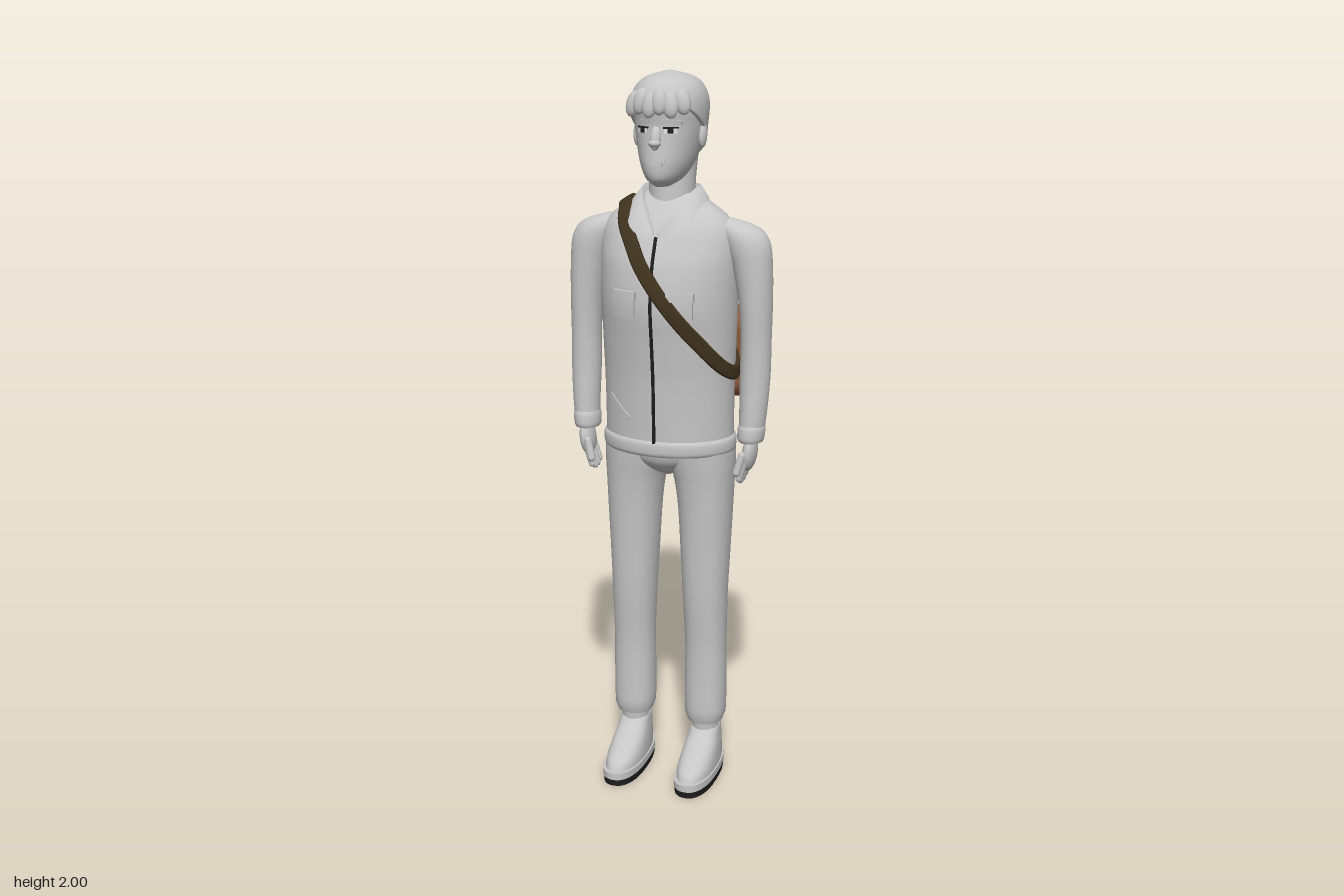
import * as THREE from 'three';
import { RoundedBoxGeometry } from 'three/addons/geometries/RoundedBoxGeometry.js';

const V = (x, y, z) => new THREE.Vector3(x, y, z);
const mat = (name, color) => Object.assign(new THREE.MeshStandardMaterial({ color }), { name });

// Smooth interpolation of rows [y, centreX, centreZ, halfWidth, frontDepth, backDepth]
function profile(rows) {
  const slope = (i, k) => {
    const a = rows[Math.max(i - 1, 0)], b = rows[Math.min(i + 1, rows.length - 1)];
    return (b[k] - a[k]) / (b[0] - a[0]);
  };
  return y => {
    let i = 0;
    while (i < rows.length - 2 && y > rows[i + 1][0]) i++;
    const a = rows[i], b = rows[i + 1], h = b[0] - a[0];
    const t = THREE.MathUtils.clamp((y - a[0]) / h, 0, 1), t2 = t * t, t3 = t2 * t;
    return a.map((_, k) => k === 0 ? y
      : (2 * t3 - 3 * t2 + 1) * a[k] + (t3 - 2 * t2 + t) * h * slope(i, k)
      + (3 * t2 - 2 * t3) * b[k] + (t3 - t2) * h * slope(i + 1, k));
  };
}

// Point on the body at angle a (0 = left, PI/2 = front)
function onSurface(prof, a, y, power = 2, scale = 1) {
  const [, cx, cz, rx, rf, rb] = prof(y), c = Math.cos(a), s = Math.sin(a);
  const e = v => Math.sign(v) * Math.abs(v) ** (2 / power) * scale;
  return V(cx + rx * e(c), y, cz + (s > 0 ? rf : rb) * e(s));
}

// Skin over a list of closed rings, with flat end caps
function skin(rings, caps = true) {
  const n = rings[0].length, m = rings.length, pts = rings.flat(), idx = [];
  for (let i = 0; i < m - 1; i++) for (let j = 0; j < n; j++) {
    const a = i * n + j, b = i * n + (j + 1) % n;
    idx.push(a, a + n, b + n, a, b + n, b);
  }
  if (caps) [0, m - 1].forEach(r => {
    const start = pts.length, mid = V(0, 0, 0);
    rings[r].forEach(p => { mid.addScaledVector(p, 1 / n); pts.push(p); });
    pts.push(mid);
    for (let j = 0; j < n; j++) {
      const p = start + j, q = start + (j + 1) % n;
      idx.push(start + n, r ? q : p, r ? p : q);
    }
  });
  const g = new THREE.BufferGeometry().setFromPoints(pts);
  g.setIndex(idx);
  g.computeVertexNormals();
  return g;
}

function loft(rows, { steps = 28, sides = 36, power = 2 } = {}) {
  const prof = profile(rows), y0 = rows[0][0], y1 = rows[rows.length - 1][0];
  return skin(Array.from({ length: steps + 1 }, (_, i) => Array.from({ length: sides }, (_, j) =>
    onSurface(prof, j / sides * Math.PI * 2, y0 + (y1 - y0) * i / steps, power))));
}

// Lays a thin box on the front of a body
function drape(prof, w, h, d, x, y, turn = 0) {
  const g = new THREE.BoxGeometry(w, h, d, 6, Math.max(2, Math.ceil(h / 0.02)), 1);
  g.rotateZ(turn).translate(x, y, 0);
  const p = g.attributes.position;
  for (let i = 0; i < p.count; i++) {
    const [, , cz, rx, rf] = prof(p.getY(i));
    p.setZ(i, p.getZ(i) + cz + rf * Math.sqrt(Math.max(0, 1 - (p.getX(i) / rx) ** 2)));
  }
  g.computeVertexNormals();
  return g;
}

// Open sheet across several rails
function sheet(rails, n = 24) {
  const pts = rails.flatMap(r => new THREE.CatmullRomCurve3(r).getPoints(n)), idx = [];
  for (let i = 0; i < rails.length - 1; i++) for (let j = 0; j < n; j++) {
    const a = i * (n + 1) + j, b = a + n + 1;
    idx.push(a, b, b + 1, a, b + 1, a + 1);
  }
  const g = new THREE.BufferGeometry().setFromPoints(pts);
  g.setIndex(idx);
  g.computeVertexNormals();
  return g;
}

export function createModel() {
  const model = new THREE.Group();
  const grey = mat('plain grey', 0xc6c6c6), leather = mat('brown leather', 0x8b5a3a);
  const webbing = mat('dark strap', 0x40331f), black = mat('black rubber', 0x1c1c1c);
  const metal = mat('buckle metal', 0xb4b4ae), white = mat('eye white', 0xe6e6e6);
  const greySheet = mat('plain grey cloth', 0xc6c6c6);
  greySheet.side = THREE.DoubleSide;
  const add = (name, geo, m = grey) => {
    const o = new THREE.Mesh(geo, m);
    o.name = name;
    model.add(o);
    return o;
  };
  const ball = (name, x, y, z, rx, ry, rz, m) => {
    const o = add(name, new THREE.SphereGeometry(1, 20, 14), m);
    o.position.set(x, y, z);
    o.scale.set(rx, ry, rz);
    return o;
  };

  // Jacket
  const torsoRows = [[0.99, 0, 0.03, 0.181, 0.131, 0.136], [1.1, 0, 0.03, 0.181, 0.134, 0.132],
    [1.2, 0, 0.03, 0.183, 0.138, 0.13], [1.3, 0, 0.03, 0.186, 0.148, 0.133],
    [1.4, 0, 0.03, 0.188, 0.158, 0.138], [1.5, 0, 0.03, 0.19, 0.144, 0.138],
    [1.56, 0, 0.03, 0.188, 0.12, 0.132], [1.6, 0, 0.03, 0.178, 0.1, 0.12],
    [1.63, 0, 0.03, 0.155, 0.08, 0.105], [1.66, 0, 0.025, 0.11, 0.06, 0.088], [1.685, 0, 0.015, 0.07, 0.045, 0.07]];
  const torso = profile(torsoRows);
  add('jacket', loft(torsoRows, { steps: 60, sides: 56 }));
  add('jacketHem', loft([[0.985, 0, 0.03, 0.182, 0.132, 0.137], [0.992, 0, 0.03, 0.187, 0.137, 0.142],
    [1.022, 0, 0.03, 0.187, 0.137, 0.142], [1.03, 0, 0.03, 0.181, 0.131, 0.135]], { sides: 56, steps: 10 }));
  add('zip', drape(torso, 0.008, 0.56, 0.008, 0, 1.3), black);

  // Head, neck and face
  add('neck', loft([[1.6, 0, 0.01, 0.064, 0.075, 0.06], [1.7, 0, 0.01, 0.062, 0.066, 0.064],
    [1.79, 0, 0, 0.066, 0.07, 0.075]]));
  const headRows = [[1.708, 0, 0.085, 0.02, 0.035, 0.04], [1.725, 0, 0.065, 0.045, 0.078, 0.07],
    [1.76, 0, 0.045, 0.066, 0.105, 0.1], [1.81, 0, 0.03, 0.081, 0.115, 0.11],
    [1.86, 0, 0.03, 0.089, 0.11, 0.12], [1.92, 0, 0.03, 0.09, 0.112, 0.125],
    [1.965, 0, 0.03, 0.068, 0.08, 0.1], [1.988, 0, 0.03, 0.02, 0.02, 0.03]];
  const head = profile(headRows);
  add('head', loft(headRows, { steps: 36 }));
  ball('nose', 0, 1.835, 0.142, 0.015, 0.032, 0.016).rotation.x = -0.3;
  ball('noseTip', 0, 1.822, 0.15, 0.017, 0.011, 0.016);
  add('upperLip', drape(head, 0.05, 0.007, 0.012, 0, 1.779));
  add('lowerLip', drape(head, 0.04, 0.008, 0.012, 0, 1.768));
  const hair = profile([[1.74, 0, 0.01, 0.068, 0.08, 0.07], [1.8, 0, 0.02, 0.088, 0.11, 0.11],
    [1.86, 0, 0.03, 0.097, 0.12, 0.132], [1.92, 0, 0.03, 0.1, 0.122, 0.139], [1.96, 0, 0.03, 0.087, 0.105, 0.12],
    [1.985, 0, 0.03, 0.058, 0.072, 0.083], [2, 0, 0.03, 0.005, 0.005, 0.005]]);
  const hairRing = (t, scale) => Array.from({ length: 48 }, (_, j) => {
    const a = j / 48 * Math.PI * 2, s = Math.sin(a);
    const low = s > 0 ? 1.855 + 0.055 * Math.min(1, s * 1.5) : 1.855 + 0.095 * s;
    return onSurface(hair, a, low + (2 - low) * t, 2, scale);
  });
  add('hair', skin([hairRing(0, 0.86), ...Array.from({ length: 25 }, (_, i) =>
    hairRing(Math.sin(i / 24 * Math.PI / 2), 1))], false));
  for (let i = 0; i < 6; i++) {
    const x = -0.07 + i * 0.027;
    const lock = ball('fringeLock', x, 1.918 + (i % 2) * 0.008, 0.026 + 0.118 * Math.sqrt(1 - (x / 0.105) ** 2),
      0.021, 0.034, 0.015);
    lock.rotation.set(-0.2, x * 5, -0.25 + i * 0.1);
  }

  for (const s of [-1, 1]) {
    const mir = rows => rows.map(r => [r[0], r[1] * s, ...r.slice(2)]);

    // Eyes, brows and ears
    add('eye', drape(head, 0.03, 0.012, 0.008, s * 0.038, 1.853), white);
    add('pupil', drape(head, 0.013, 0.012, 0.011, s * 0.038, 1.853), black);
    add('lash', drape(head, 0.034, 0.004, 0.011, s * 0.038, 1.861), black);
    add('brow', drape(head, 0.044, 0.009, 0.016, s * 0.04, 1.876, -s * 0.12));
    ball('ear', s * 0.09, 1.836, 0.027, 0.011, 0.034, 0.019).rotation.x = -0.15;

    // Folded collar
    add('collar', sheet([
      [V(0, 1.675, -0.052), V(s * 0.06, 1.68, -0.01), V(s * 0.062, 1.675, 0.05), V(s * 0.035, 1.64, 0.1), V(s * 0.004, 1.585, 0.14)],
      [V(0, 1.702, -0.06), V(s * 0.072, 1.702, -0.015), V(s * 0.072, 1.695, 0.05), V(s * 0.045, 1.65, 0.115), V(s * 0.006, 1.59, 0.155)],
      [V(0, 1.668, -0.078), V(s * 0.095, 1.668, -0.015), V(s * 0.1, 1.658, 0.06), V(s * 0.075, 1.605, 0.138), V(s * 0.025, 1.573, 0.162)],
    ]), greySheet);

    // Pockets
    add('chestPocket', drape(torso, 0.062, 0.06, 0.012, s * 0.077, 1.402));
    add('pocketFlap', drape(torso, 0.068, 0.022, 0.024, s * 0.077, 1.43));
    add('sidePocket', drape(torso, 0.085, 0.013, 0.014, s * 0.107, 1.113, s * 0.7));

    // Sleeve and cuff
    add('sleeve', loft(mir([[1.035, 0.238, 0.046, 0.033, 0.042, 0.042], [1.1, 0.242, 0.042, 0.037, 0.043, 0.043],
      [1.2, 0.244, 0.034, 0.041, 0.045, 0.046], [1.3, 0.244, 0.03, 0.041, 0.048, 0.049],
      [1.4, 0.241, 0.028, 0.045, 0.053, 0.053], [1.5, 0.23, 0.027, 0.054, 0.056, 0.056],
      [1.56, 0.215, 0.027, 0.062, 0.055, 0.055], [1.595, 0.196, 0.027, 0.059, 0.046, 0.046],
      [1.612, 0.175, 0.027, 0.045, 0.03, 0.03], [1.622, 0.16, 0.027, 0.02, 0.012, 0.012]]), { steps: 44 }));
    add('cuff', loft(mir([[1.024, 0.238, 0.047, 0.033, 0.042, 0.042], [1.032, 0.238, 0.047, 0.036, 0.046, 0.046],
      [1.062, 0.24, 0.045, 0.037, 0.046, 0.046], [1.07, 0.24, 0.045, 0.034, 0.042, 0.042]]), { steps: 8 }));

    // Hand
    ball('palm', s * 0.237, 0.99, 0.051, 0.02, 0.052, 0.039).rotation.z = -s * 0.12;
    for (let i = 0; i < 4; i++) {
      const finger = add('finger', new THREE.CapsuleGeometry(0.0095, 0.06 - Math.abs(i - 1.6) * 0.009, 4, 10));
      finger.position.set(s * 0.222, 0.937 + Math.abs(i - 1.6) * 0.004, 0.024 + i * 0.018);
      finger.rotation.z = -s * 0.3;
    }
    const thumb = add('thumb', new THREE.CapsuleGeometry(0.011, 0.05, 4, 10));
    thumb.position.set(s * 0.218, 0.965, 0.088);
    thumb.rotation.set(-0.15, 0, -s * 0.25);

    // Trouser leg
    add('trouserLeg', loft(mir([[0.165, 0.108, 0.028, 0.05, 0.054, 0.056], [0.18, 0.108, 0.028, 0.057, 0.061, 0.063],
      [0.3, 0.108, 0.028, 0.059, 0.06, 0.064], [0.4, 0.108, 0.029, 0.058, 0.06, 0.066],
      [0.55, 0.106, 0.031, 0.062, 0.069, 0.072], [0.7, 0.105, 0.028, 0.069, 0.078, 0.08],
      [0.82, 0.104, 0.027, 0.075, 0.085, 0.09], [0.9, 0.1, 0.026, 0.082, 0.092, 0.098],
      [0.95, 0.094, 0.026, 0.09, 0.098, 0.106], [1.02, 0.088, 0.026, 0.094, 0.105, 0.112]]), { steps: 40, power: 2.2 }));

    // Ankle and shoe
    add('ankle', loft(mir([[0.12, 0.108, 0.028, 0.037, 0.042, 0.045], [0.19, 0.108, 0.028, 0.04, 0.045, 0.045]])));
    const x = s * 0.108;
    const sole = (y0, y1, k) => loft([[y0, x, 0.09, 0.055 * k, 0.133 * k, 0.148 * k],
      [y1, x, 0.09, 0.055 * k, 0.133 * k, 0.148 * k]], { steps: 2, power: 2.4 });
    add('sole', sole(0, 0.02, 0.98), black);
    add('welt', sole(0.02, 0.04, 1.01));
    add('shoe', loft([[0.035, x, 0.09, 0.052, 0.126, 0.143], [0.06, x, 0.085, 0.051, 0.115, 0.138],
      [0.09, x, 0.065, 0.048, 0.085, 0.116], [0.12, x, 0.04, 0.043, 0.055, 0.087],
      [0.138, x, 0.03, 0.04, 0.043, 0.073], [0.145, x, 0.028, 0.035, 0.038, 0.06]], { power: 2.2 }));
  }
  add('trouserSeat', loft([[0.905, 0, 0.026, 0.015, 0.03, 0.04], [0.925, 0, 0.026, 0.06, 0.07, 0.08],
    [0.96, 0, 0.026, 0.13, 0.1, 0.105], [1.02, 0, 0.026, 0.178, 0.11, 0.118]]));

  // Cross-body strap: x and y keys down the front, then up the back
  const front = [[-0.103, 1.635], [-0.075, 1.575], [-0.035, 1.51], [0.035, 1.415], [0.11, 1.315], [0.165, 1.235]];
  const back = [[0.165, 1.23], [0.12, 1.29], [0.04, 1.4], [-0.03, 1.495], [-0.085, 1.585], [-0.103, 1.632]];
  const key = ([x, y], sign) => V(sign * Math.acos(THREE.MathUtils.clamp(x / torso(y)[3], -1, 1)), y, 0);
  const path = new THREE.CatmullRomCurve3([V(Math.PI, 1.658, 0), ...front.map(k => key(k, 1)), V(0, 1.208, 0),
    ...back.map(k => key(k, -1)), V(-Math.PI, 1.658, 0)]);
  const at = t => { const p = path.getPoint(t); return onSurface(torso, p.x, p.y); };
  add('strap', skin(Array.from({ length: 121 }, (_, i) => {
    const t = i / 120, p = path.getPoint(t), e = 0.002;
    const T = at(Math.min(1, t + e)).sub(at(Math.max(0, t - e))).normalize();
    const dA = onSurface(torso, p.x + e, p.y).sub(onSurface(torso, p.x - e, p.y));
    const dY = onSurface(torso, p.x, p.y + e).sub(onSurface(torso, p.x, p.y - e));
    const N = dY.cross(dA).normalize(), W = T.clone().cross(N).normalize();
    return Array.from({ length: 12 }, (_, j) => {
      const a = j / 12 * Math.PI * 2, r = v => Math.sign(v) * Math.sqrt(Math.abs(v));
      return at(t).addScaledVector(W, 0.02 * r(Math.cos(a))).addScaledVector(N, 0.005 + 0.008 * r(Math.sin(a)));
    });
  })), webbing);

  // Satchel with flap and two buckles
  add('satchel', new RoundedBoxGeometry(0.318, 0.252, 0.112, 8, 0.052), leather).position.set(0.048, 1.216, -0.163);
  add('satchelFlap', new RoundedBoxGeometry(0.325, 0.125, 0.066, 8, 0.032), leather).position.set(0.048, 1.283, -0.191);
  for (const x of [-0.025, 0.121]) {
    add('buckleStrap', new THREE.BoxGeometry(0.022, 0.07, 0.008), webbing).position.set(x, 1.225, -0.225);
    add('buckle', new THREE.BoxGeometry(0.028, 0.045, 0.01), metal).position.set(x, 1.17, -0.222);
  }
  return model;
}
